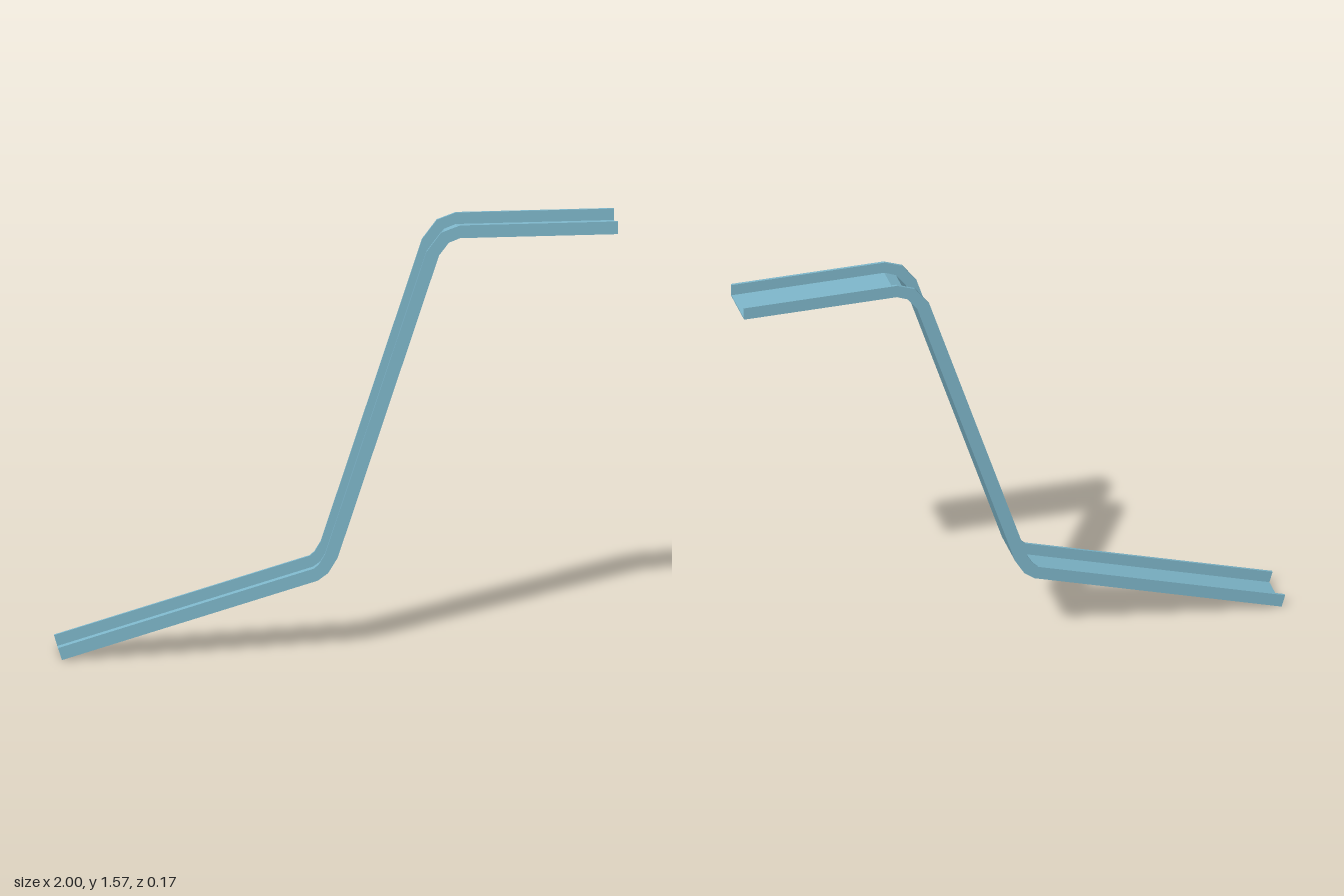
import * as THREE from 'three';

// Floor line of the channel in the xy plane: x, y, heading in degrees
const PATH = [
  [-0.987, 0, 16.3],
  [-0.073, 0.27, 16.3],
  [-0.036, 0.297, 44],
  [-0.002, 0.353, 72],
  [0.36, 1.463, 72],
  [0.395, 1.509, 36],
  [0.435, 1.525, 0],
  [1, 1.525, 0],
];
const HALF = 0.087;   // half width
const HEIGHT = 0.047; // flange height
const WALL = 0.009;   // flange thickness
const FLOOR = 0.005;  // floor thickness

// U-shaped cross-section: z, height above the floor line
const IN = HALF - WALL;
const SECTION = [
  [HALF, HEIGHT], [HALF, 0], [-HALF, 0], [-HALF, HEIGHT],
  [-IN, HEIGHT], [-IN, FLOOR], [IN, FLOOR], [IN, HEIGHT],
];

function sweepChannel() {
  const rings = PATH.map(([x, y, deg]) => {
    const a = THREE.MathUtils.degToRad(deg);
    return SECTION.map(([z, h]) => [x - Math.sin(a) * h, y + Math.cos(a) * h, z]);
  });
  const positions = [];
  const quad = (a, b, c, d) => positions.push(...a, ...b, ...c, ...a, ...c, ...d);

  // walls between neighbouring sections
  const n = SECTION.length;
  for (let i = 0; i < rings.length - 1; i++) {
    const a = rings[i], b = rings[i + 1];
    for (let j = 0; j < n; j++) {
      const k = (j + 1) % n;
      quad(a[j], a[k], b[k], b[j]);
    }
  }

  // cut ends: flange, floor, flange
  const first = rings[0], last = rings[rings.length - 1];
  for (const [a, b, c, d] of [[0, 1, 6, 7], [1, 2, 5, 6], [2, 3, 4, 5]]) {
    quad(first[d], first[c], first[b], first[a]);
    quad(last[a], last[b], last[c], last[d]);
  }

  const geometry = new THREE.BufferGeometry();
  geometry.setAttribute('position', new THREE.Float32BufferAttribute(positions, 3));
  geometry.computeVertexNormals();
  return geometry;
}

export function createModel() {
  const group = new THREE.Group();
  group.name = 'bentChannel';
  const material = new THREE.MeshStandardMaterial({ color: 0x7fb8cc, flatShading: true });
  const channel = new THREE.Mesh(sweepChannel(), material);
  channel.name = 'channel';
  group.add(channel);
  return group;
}
